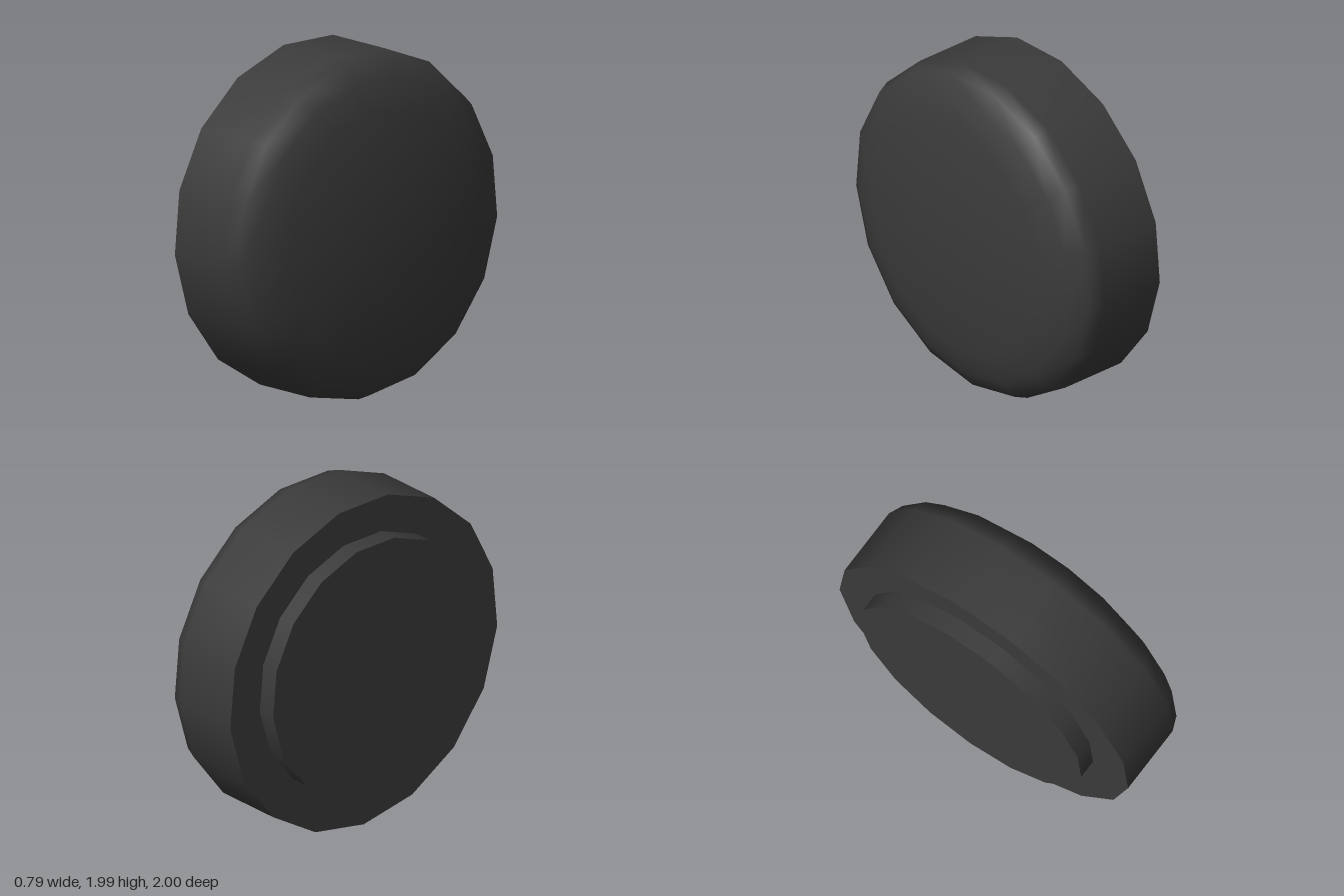
import * as THREE from 'three';

const SIDES = 17;
const material = new THREE.MeshStandardMaterial({ color: 0x3a3a3a });

// Turns a profile of [x, radius] points around the x axis, one corner pointing down.
function turned(name, profile) {
  const points = profile.map(([x, r]) => new THREE.Vector2(r, x));
  const geometry = new THREE.LatheGeometry(points, SIDES, Math.PI / 2);
  geometry.rotateZ(-Math.PI / 2);
  const mesh = new THREE.Mesh(geometry, material);
  mesh.name = name;
  return mesh;
}

export function createModel() {
  const model = new THREE.Group();
  model.name = 'roundKnob';

  // Main knob: straight wall running smoothly into the domed face
  const knob = new THREE.Group();
  knob.name = 'knob';
  knob.position.y = 1.004;
  knob.add(
    turned('knobBack', [[-0.284, 0], [-0.284, 1.004]]),
    turned('knobShell', [
      [-0.284, 1.004], [0.137, 1.004], [0.221, 0.969], [0.287, 0.866],
      [0.345, 0.697], [0.394, 0.304], [0.394, 0],
    ]),
  );

  // Smaller mounting disc behind it, slightly off centre
  const base = new THREE.Group();
  base.name = 'mountingDisc';
  base.position.set(0, 1.022, -0.011);
  base.add(
    turned('discBack', [[-0.396, 0], [-0.396, 0.771]]),
    turned('discWall', [[-0.396, 0.771], [-0.284, 0.771]]),
  );

  model.add(knob, base);
  return model;
}
